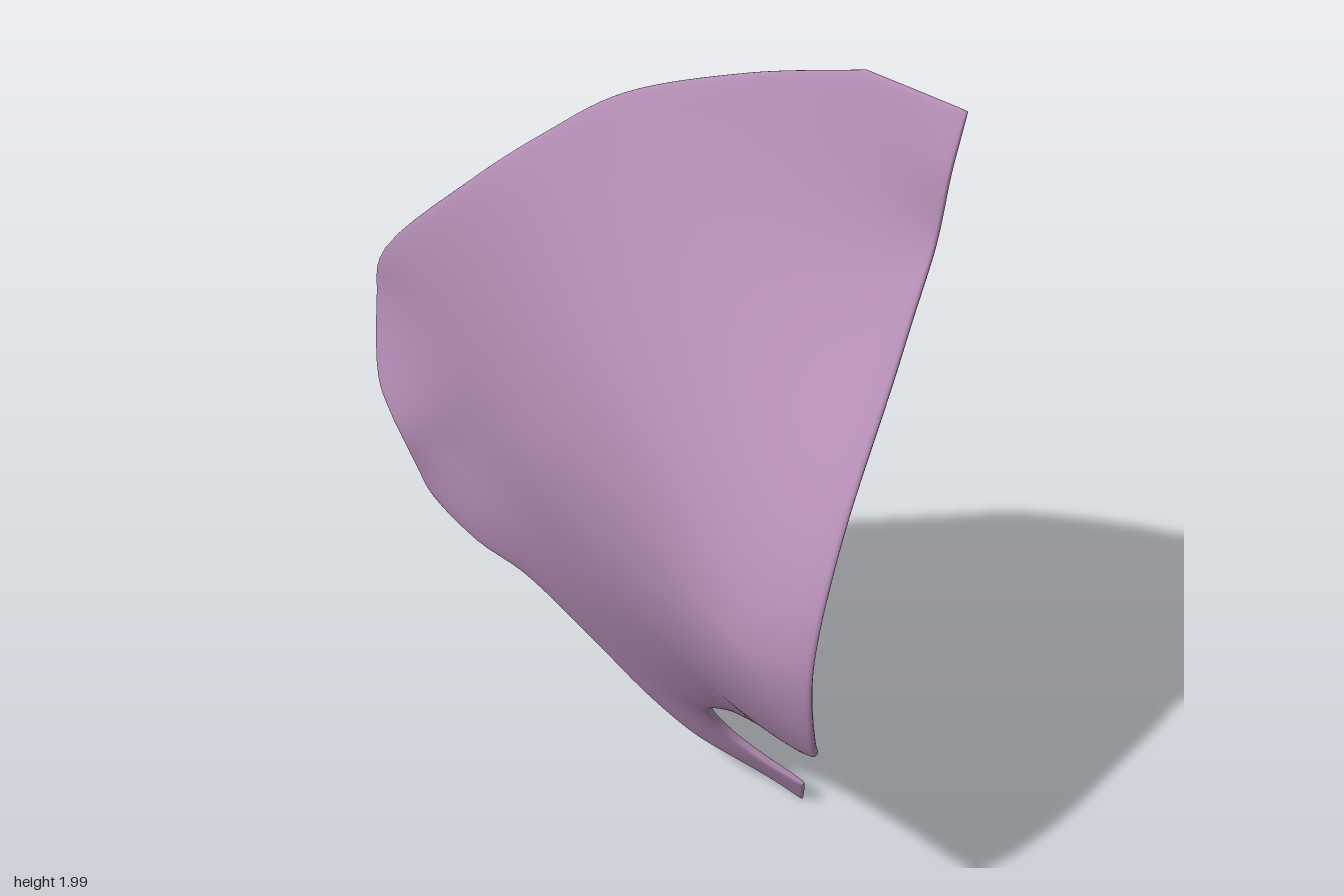
import * as THREE from 'three';

// Rim points from the lower tip to the top corner: [left x,y,z, right x,y,z]
const ROWS = [
  [0.36, 0.01, -0.325, 0.38, 0.10, -0.28],
  [0.28, 0.07, -0.30, 0.30, 0.16, -0.25],
  [0.12, 0.17, -0.245, 0.225, 0.24, -0.21],
  [0.00, 0.27, -0.215, 0.20, 0.33, -0.155],
  [-0.12, 0.39, -0.19, 0.23, 0.42, -0.085],
  [-0.30, 0.55, -0.16, 0.31, 0.51, -0.005],
  [-0.42, 0.61, -0.145, 0.40, 0.61, 0.10],
  [-0.53, 0.71, -0.13, 0.50, 0.68, 0.185],
  [-0.56, 0.79, -0.115, 0.635, 0.71, 0.245],
  [-0.58, 0.86, -0.10, 0.642, 0.75, 0.267],
  [-0.61, 0.92, -0.10, 0.648, 0.85, 0.303],
  [-0.655, 1.00, -0.12, 0.65, 0.98, 0.32],
  [-0.67, 1.20, -0.155, 0.655, 1.15, 0.285],
  [-0.645, 1.31, -0.145, 0.655, 1.30, 0.20],
  [-0.40, 1.565, -0.14, 0.657, 1.50, 0.05],
  [-0.235, 1.705, -0.17, 0.656, 1.62, -0.04],
  [-0.08, 1.815, -0.205, 0.657, 1.72, -0.11],
  [0.20, 1.925, -0.22, 0.663, 1.86, -0.14],
  [0.45, 2.00, -0.205, 0.67, 1.98, -0.18],
];
// Points along the crest, and the small dent by the left rim
const INNER = [
  [-0.4, 0.97, -0.108], [-0.2, 0.96, -0.045], [0, 0.96, 0.027], [0.2, 0.96, 0.13],
  [0.4, 0.97, 0.255], [0.49, 0.97, 0.298], [0.58, 0.97, 0.317], [-0.48, 0.87, -0.122],
];
const HALF_THICKNESS = 0.016;

// Smoothest sheet z(x, y) through the given points (thin-plate spline)
function fitSheet(points) {
  const kernel = (dx, dy) => {
    const d = dx * dx + dy * dy;
    return d > 0 ? d * Math.log(d) : 0;
  };
  const basis = (x, y) => [...points.map((p) => kernel(x - p[0], y - p[1])), 1, x, y];
  const m = points.map((p) => [...basis(p[0], p[1]), p[2]]);
  for (const f of [() => 1, (p) => p[0], (p) => p[1]]) m.push([...points.map(f), 0, 0, 0, 0]);
  const n = m.length;
  for (let c = 0; c < n; c++) {
    let pivot = c;
    for (let r = c + 1; r < n; r++) if (Math.abs(m[r][c]) > Math.abs(m[pivot][c])) pivot = r;
    [m[c], m[pivot]] = [m[pivot], m[c]];
    for (let r = 0; r < n; r++) {
      if (r === c) continue;
      const f = m[r][c] / m[c][c];
      for (let k = c; k <= n; k++) m[r][k] -= f * m[c][k];
    }
  }
  const weights = m.map((row, i) => row[n] / row[i]);
  return (x, y) => basis(x, y).reduce((sum, b, i) => sum + b * weights[i], 0);
}

const sheet = fitSheet([...ROWS.flatMap((r) => [r.slice(0, 3), r.slice(3)]), ...INNER]);

const edge = (k) => new THREE.CatmullRomCurve3(
  ROWS.map((r) => new THREE.Vector3(r[k], r[k + 1], 0)), false, 'centripetal');
const leftEdge = edge(0);
const rightEdge = edge(3);

function normalAt(x, y) {
  const e = 0.004;
  const dx = (sheet(x + e, y) - sheet(x - e, y)) / (2 * e);
  const dy = (sheet(x, y + e) - sheet(x, y - e)) / (2 * e);
  return new THREE.Vector3(-dx, -dy, 1).normalize();
}

// Closed thin shell with rounded rim: each row is a flat loop, front then back
function shellGeometry(rows, loop) {
  const positions = [];
  const index = [];
  for (let j = 0; j <= rows; j++) {
    const b = (Math.PI * j) / rows;
    const t = (1 - Math.cos(b)) / 2;
    const endTaper = Math.pow(Math.abs(Math.sin(b)), 0.35);
    const left = leftEdge.getPoint(t);
    const right = rightEdge.getPoint(t);
    for (let i = 0; i < loop; i++) {
      const a = (2 * Math.PI * i) / loop;
      const s = Math.sin(a);
      const offset = HALF_THICKNESS * endTaper * Math.sign(s) * Math.pow(Math.abs(s), 0.4);
      const p = left.clone().lerp(right, (1 - Math.cos(a)) / 2);
      p.z = sheet(p.x, p.y);
      p.addScaledVector(normalAt(p.x, p.y), offset);
      positions.push(p.x, p.y, p.z);
      if (j === rows) continue;
      const n = (i + 1) % loop;
      const q = j * loop;
      index.push(q + i, q + n, q + loop + n, q + i, q + loop + n, q + loop + i);
    }
  }
  const g = new THREE.BufferGeometry();
  g.setAttribute('position', new THREE.Float32BufferAttribute(positions, 3));
  g.setIndex(index);
  g.computeVertexNormals();
  return g;
}

export function createModel() {
  const mauve = new THREE.MeshStandardMaterial({ color: 0xb48db4 });
  mauve.name = 'mauve';

  const group = new THREE.Group();
  group.name = 'curvedPlate';
  const shell = new THREE.Mesh(shellGeometry(140, 80), mauve);
  shell.name = 'shell';
  group.add(shell);
  return group;
}
